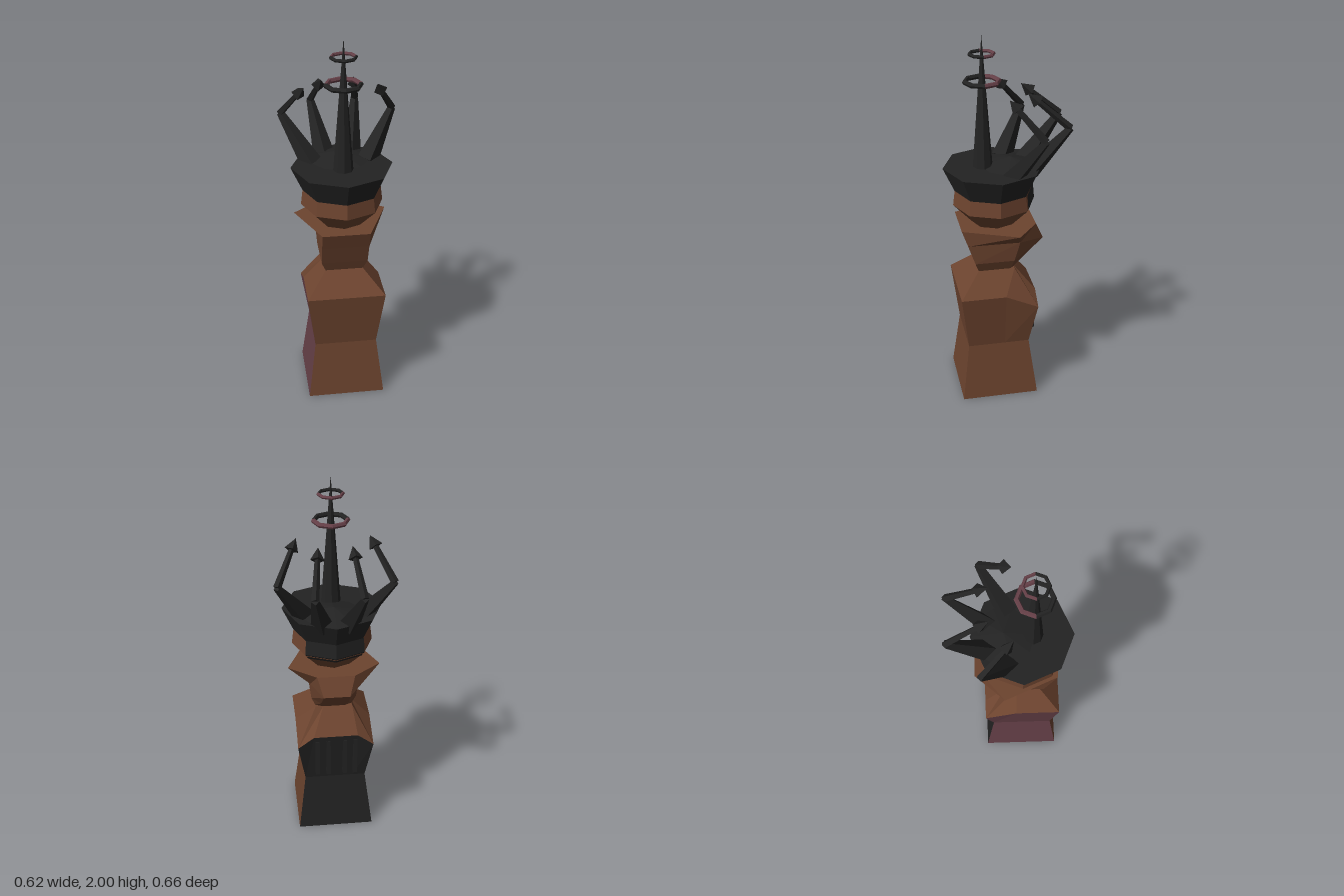
import * as THREE from 'three';

const flat = (name, color) => {
  const m = new THREE.MeshStandardMaterial({ color, flatShading: true, side: THREE.DoubleSide });
  m.name = name;
  return m;
};

export function createModel() {
  const group = new THREE.Group();
  const brown = flat('brown', 0x6d442f);
  const black = flat('black', 0x232323);
  const maroon = flat('maroon', 0x664048);
  const palette = [brown, black, maroon];

  function add(name, geometry, material, x = 0, y = 0, z = 0) {
    const mesh = new THREE.Mesh(geometry, material);
    mesh.name = name;
    mesh.position.set(x, y, z);
    group.add(mesh);
    return mesh;
  }

  // Mirrors the +x half of a cross-section into a closed ring
  const mirror = half => [...half, ...half.slice().reverse().map(([x, y, z]) => [-x, y, z])];

  // Skins a stack of rings; colourOf(band, side) gives a palette index
  function loft(halves, colourOf, bottom, top) {
    const rings = halves.map(mirror);
    const n = rings[0].length;
    const lists = [[], [], []];
    const tri = (c, ...p) => p.forEach(v => lists[c].push(...v));
    for (let b = 0; b < rings.length - 1; b++) {
      for (let i = 0; i < n; i++) {
        const j = (i + 1) % n, c = colourOf(b, i);
        tri(c, rings[b][i], rings[b][j], rings[b + 1][j]);
        tri(c, rings[b][i], rings[b + 1][j], rings[b + 1][i]);
      }
    }
    const last = rings[rings.length - 1];
    for (let i = 1; i < n - 1; i++) {
      tri(bottom, rings[0][0], rings[0][i + 1], rings[0][i]);
      tri(top, last[0], last[i], last[i + 1]);
    }
    const g = new THREE.BufferGeometry();
    g.setAttribute('position', new THREE.Float32BufferAttribute(lists.flat(), 3));
    let start = 0;
    lists.forEach((l, c) => {
      if (l.length) g.addGroup(start, l.length / 3, c);
      start += l.length / 3;
    });
    g.computeVertexNormals();
    return g;
  }

  // Waisted square body, black at the back, with an arched rear shoulder
  const body = (x, y, front, back) =>
    [[x, y, front], [x, y, 0.035], [x, y, back], [x * 0.58, y, back]];
  add('body', loft([
    body(0.207, 0, 0.275, -0.14),
    body(0.167, 0.32, 0.235, -0.097),
    [[0.207, 0.63, 0.275], [0.207, 0.63, 0.035], [0.207, 0.55, -0.14], [0.12, 0.615, -0.14]],
    body(0.1, 0.745, 0.165, -0.03),
  ], (b, i) => (b === 2 ? 0 : i >= 2 && i <= 4 ? 1 : i === 5 || i === 6 ? 2 : 0), 1, 0), palette);

  // Upright bars across the back
  for (const x of [-0.107, -0.05, 0.04, 0.1])
    add('backBar', new THREE.BoxGeometry(0.022, 0.22, 0.035), black, x, 0.475, -0.122);

  // Neck piece flaring into two wing points and a rear bulge
  add('flaredNeck', loft([
    [[0.1, 0.745, 0.165], [0.1, 0.745, -0.01], [0.06, 0.745, -0.03]],
    [[0.122, 0.8, 0.185], [0.122, 0.8, -0.025], [0.075, 0.8, -0.085]],
    [[0.124, 0.91, 0.223], [0.13, 0.91, -0.055], [0.07, 0.9, -0.19]],
    [[0.124, 1.0, 0.255], [0.245, 1.0, -0.03], [0.1, 1.0, -0.145]],
  ], () => 0, 0, 0), palette);

  // Eight-sided head and crown
  const lathe = (pts, ...arc) =>
    new THREE.LatheGeometry(pts.map(p => new THREE.Vector2(...p)), ...arc);
  add('head', lathe([[0, 0.99], [0.11, 0.99], [0.215, 1.1], [0.205, 1.18]], 8), brown, 0, 0, 0.065);
  add('crown', lathe([[0.205, 1.18], [0.265, 1.31], [0, 1.31]], 8), black, 0, 0, 0.065);
  add('crownBack', lathe([[0.2, 1.08], [0.22, 1.11], [0.213, 1.19]], 2, Math.PI * 0.75, Math.PI / 2),
    black, 0, 0, 0.065);
  add('crownRise', new THREE.ConeGeometry(0.16, 0.04, 10), black, 0, 1.33, -0.03);

  // Tall spire with two rings
  const spireZ = 0.12;
  add('spire', new THREE.ConeGeometry(0.052, 0.69, 8), black, 0, 1.655, spireZ);
  for (const [y, r, tube] of [[1.765, 0.087, 0.013], [1.905, 0.062, 0.009]]) {
    // Front half is black, back half maroon
    for (const [name, mat, turn] of [['ringFront', black, 0], ['ringBack', maroon, Math.PI]]) {
      const g = new THREE.TorusGeometry(r, tube, 6, 4, Math.PI);
      g.rotateX(Math.PI / 2).rotateY(turn);
      add(name, g, mat, 0, y, spireZ);
    }
  }

  // Four-sided tapered bar between two points
  function bar(name, a, b, r0, r1) {
    const dir = b.clone().sub(a);
    const mesh = add(name, new THREE.CylinderGeometry(r1, r0, dir.length(), 4), black);
    mesh.position.copy(a).add(b).multiplyScalar(0.5);
    mesh.quaternion.setFromUnitVectors(new THREE.Vector3(0, 1, 0), dir.normalize());
  }

  // Bent tines with arrowheads, mirrored in pairs
  const tines = [
    [[0.145, 1.29, -0.01], [0.293, 1.53, -0.145], [0.185, 1.72, 0.015]],
    [[0.07, 1.29, -0.11], [0.12, 1.53, -0.312], [0.085, 1.715, -0.098]],
  ];
  for (const side of [1, -1]) {
    for (const tine of tines) {
      const [base, elbow, tip] = tine.map(([x, y, z]) => new THREE.Vector3(side * x, y, z));
      const headBase = tip.clone().lerp(elbow, 0.24);
      bar('tineLower', base, elbow, 0.058, 0.02);
      bar('tineUpper', elbow, headBase, 0.02, 0.014);
      bar('tineHead', headBase, tip, 0.036, 0);
    }
  }
  return group;
}
